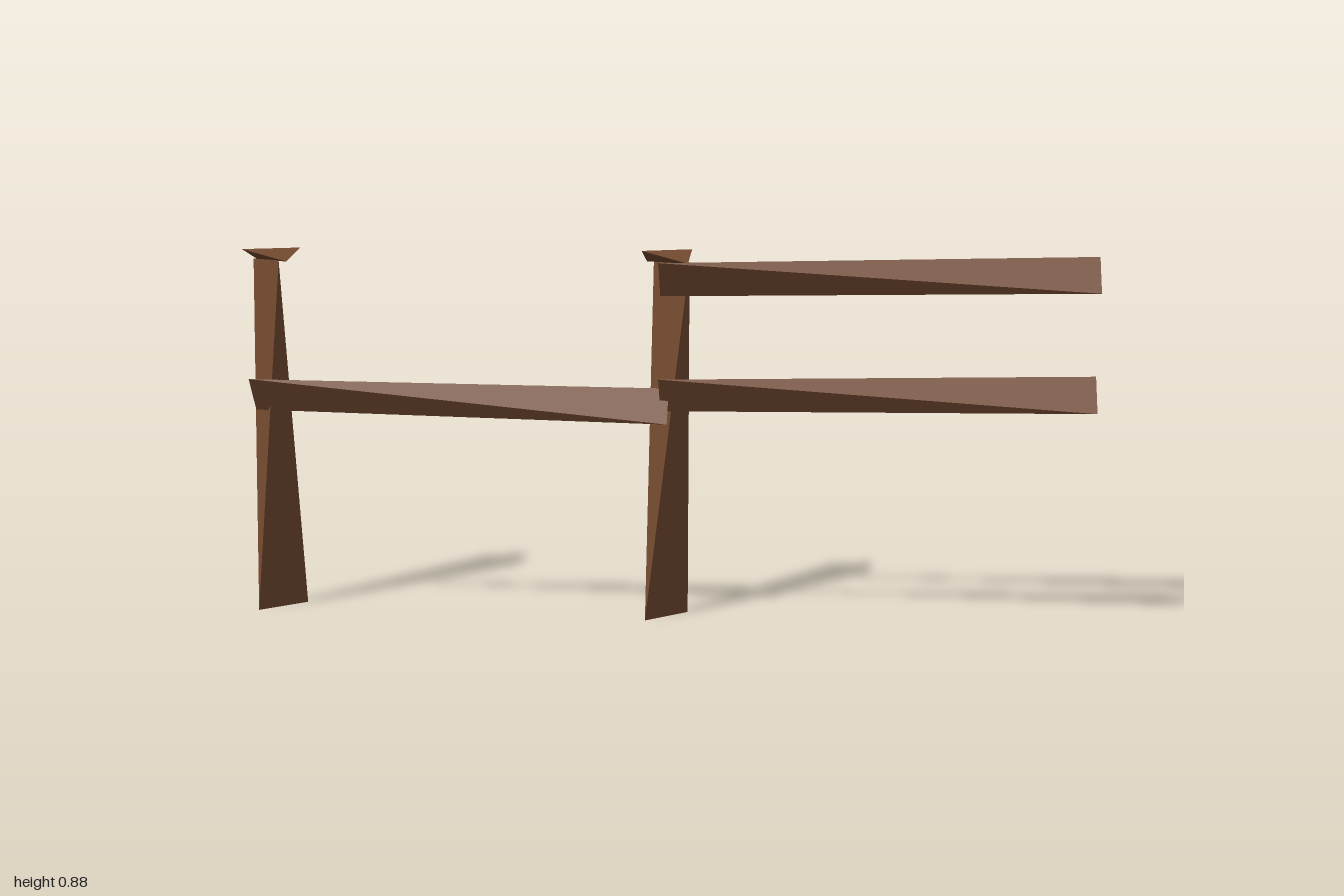
import * as THREE from 'three';

// Four-cornered wedge: one edge joins a-b, the crossing edge joins c-d.
function wedge(name, material, a, b, c, d) {
  const v = [a, b, c, d].map((p) => new THREE.Vector3(...p));
  const ab = v[1].clone().sub(v[0]);
  const ac = v[2].clone().sub(v[0]);
  const ad = v[3].clone().sub(v[0]);
  if (ab.cross(ac).dot(ad) > 0) [v[2], v[3]] = [v[3], v[2]]; // keep faces outward
  const [p, q, r, s] = v;
  const geometry = new THREE.BufferGeometry().setFromPoints([p, q, r, p, r, s, p, s, q, q, s, r]);
  geometry.computeVertexNormals();
  const mesh = new THREE.Mesh(geometry, material);
  mesh.name = name;
  return mesh;
}

export function createModel() {
  const group = new THREE.Group();
  group.name = 'brokenFence';
  const wood = new THREE.MeshStandardMaterial({ color: 0x754b31 });
  wood.name = 'brown wood';

  // Leaning posts: base and top centres, with crossing diagonal ends
  const h = 0.047;
  const post = (name, [bx, bz], [tx, tz]) => group.add(wedge(name, wood,
    [bx - h, 0, bz + h], [bx + h, 0, bz - h],
    [tx + h, 0.855, tz + h], [tx - h, 0.855, tz - h]));
  post('rightPost', [-0.943, -0.019], [-0.955, -0.006]);
  post('middlePost', [0.01, -0.019], [0.021, -0.024]);

  // Post caps, their diagonals opposite to the posts
  const c = 0.054;
  const cap = (name, x, z) => group.add(wedge(name, wood,
    [x - c, 0.881, z + c], [x + c, 0.881, z - c],
    [x + c, 0.852, z + c], [x - c, 0.852, z - c]));
  cap('rightPostCap', -0.946, -0.022);
  cap('middlePostCap', 0.011, -0.022);

  // Sloping rails: x and lower/upper heights at each end
  const front = 0.073, back = 0.027;
  const rail = (name, [x0, lo0, hi0], [x1, lo1, hi1]) => group.add(wedge(name, wood,
    [x0, hi0, front], [x0, lo0, back],
    [x1, lo1, front], [x1, hi1, back]));
  rail('rightRail', [-0.98, 0.496, 0.575], [0.02, 0.481, 0.56]);
  rail('leftLowerRail', [0, 0.506, 0.586], [1, 0.52, 0.6]);
  rail('leftUpperRail', [0, 0.776, 0.855], [1, 0.792, 0.872]);

  return group;
}
